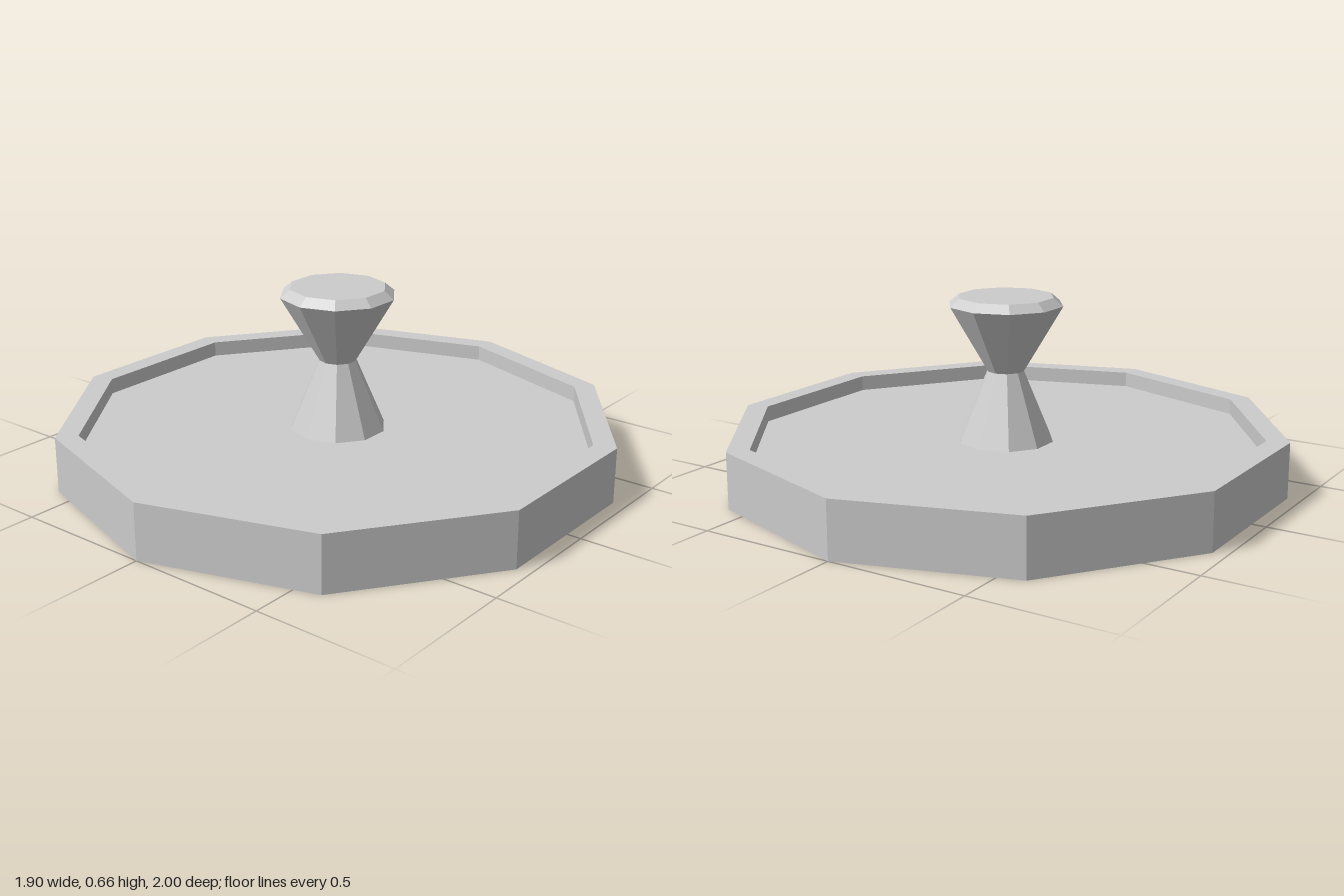
import * as THREE from 'three';

const SIDES = 10;

export function createModel() {
  const group = new THREE.Group();
  const material = new THREE.MeshStandardMaterial({
    color: 0xcccccc, flatShading: true, side: THREE.DoubleSide,
  });

  // Spin a [radius, height] profile into a ten-sided thin shell
  const addShell = (name, profile) => {
    const points = profile.map(([r, y]) => new THREE.Vector2(r, y));
    const mesh = new THREE.Mesh(new THREE.LatheGeometry(points, SIDES), material);
    mesh.name = name;
    group.add(mesh);
  };

  // Outer wall, open underneath, with a flat rim
  addShell('rim', [[1, 0], [1, 0.2], [0.92, 0.2]]);

  // Recessed floor, open in the middle under the hollow handle
  addShell('recessedFloor', [[0.92, 0.2], [0.92, 0.143], [0.173, 0.143]]);

  // Waisted handle with a bevelled flat top
  addShell('handle', [[0.173, 0.143], [0.066, 0.395], [0.206, 0.633], [0.172, 0.662], [0, 0.662]]);

  return group;
}
